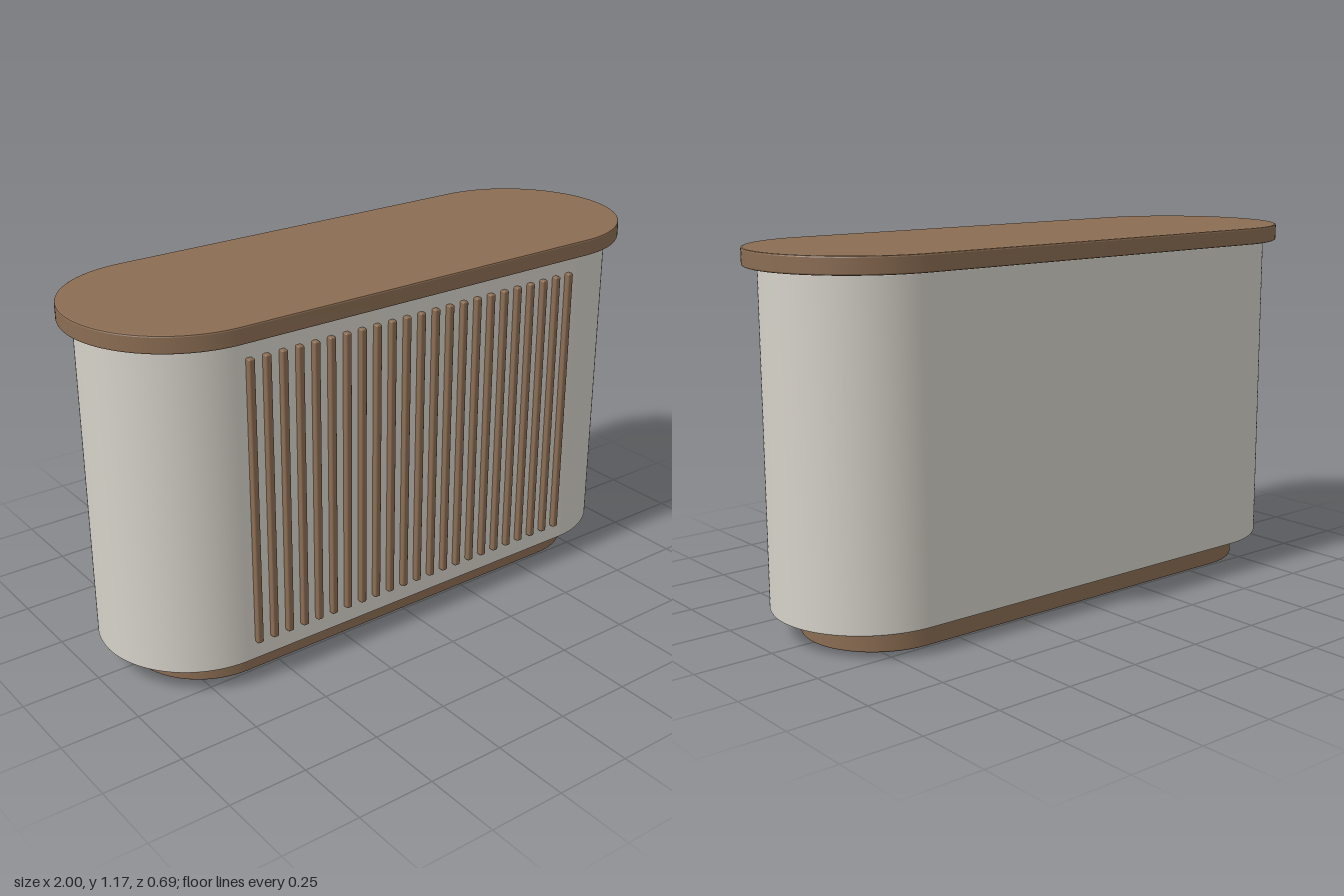
import * as THREE from 'three';
import { toCreasedNormals } from 'three/addons/utils/BufferGeometryUtils.js';
import { RoundedBoxGeometry } from 'three/addons/geometries/RoundedBoxGeometry.js';

const BEVEL = 0.005;

// Upright slab with a stadium outline, from y0 to y1, with softened rims
function stadium(name, halfWidth, halfDepth, y0, y1, material) {
  const r = halfDepth - BEVEL;
  const s = halfWidth - halfDepth;
  const shape = new THREE.Shape();
  shape.moveTo(-s, -r);
  shape.lineTo(s, -r);
  shape.absarc(s, 0, r, -Math.PI / 2, Math.PI / 2, false);
  shape.lineTo(-s, r);
  shape.absarc(-s, 0, r, Math.PI / 2, Math.PI * 1.5, false);
  const extruded = new THREE.ExtrudeGeometry(shape, {
    depth: y1 - y0 - 2 * BEVEL,
    curveSegments: 32,
    bevelEnabled: true,
    bevelSize: BEVEL,
    bevelThickness: BEVEL,
    bevelSegments: 2,
  });
  extruded.rotateX(-Math.PI / 2);
  extruded.translate(0, y0 + BEVEL, 0);
  const mesh = new THREE.Mesh(toCreasedNormals(extruded, 0.3), material);
  mesh.name = name;
  return mesh;
}

export function createModel() {
  const wood = new THREE.MeshStandardMaterial({ color: 0x8b6d53 });
  wood.name = 'brown wood';
  const shell = new THREE.MeshStandardMaterial({ color: 0xd6d2c9 });
  shell.name = 'warm light grey';

  const model = new THREE.Group();
  model.name = 'counter';
  model.add(
    stadium('plinth', 0.86, 0.245, 0, 0.08, wood),
    stadium('body', 0.955, 0.306, 0.08, 1.12, shell),
    stadium('top', 1, 0.344, 1.12, 1.174, wood),
  );

  // Row of vertical slats on the flat front
  const slats = new THREE.Group();
  slats.name = 'frontSlats';
  const count = 23;
  const slatGeometry = new RoundedBoxGeometry(0.021, 0.922, 0.026, 2, 0.005);
  for (let i = 0; i < count; i++) {
    const slat = new THREE.Mesh(slatGeometry, wood);
    slat.name = 'slat';
    slat.position.set((i - (count - 1) / 2) * 0.0555, 0.602, 0.311);
    slats.add(slat);
  }
  model.add(slats);
  return model;
}
